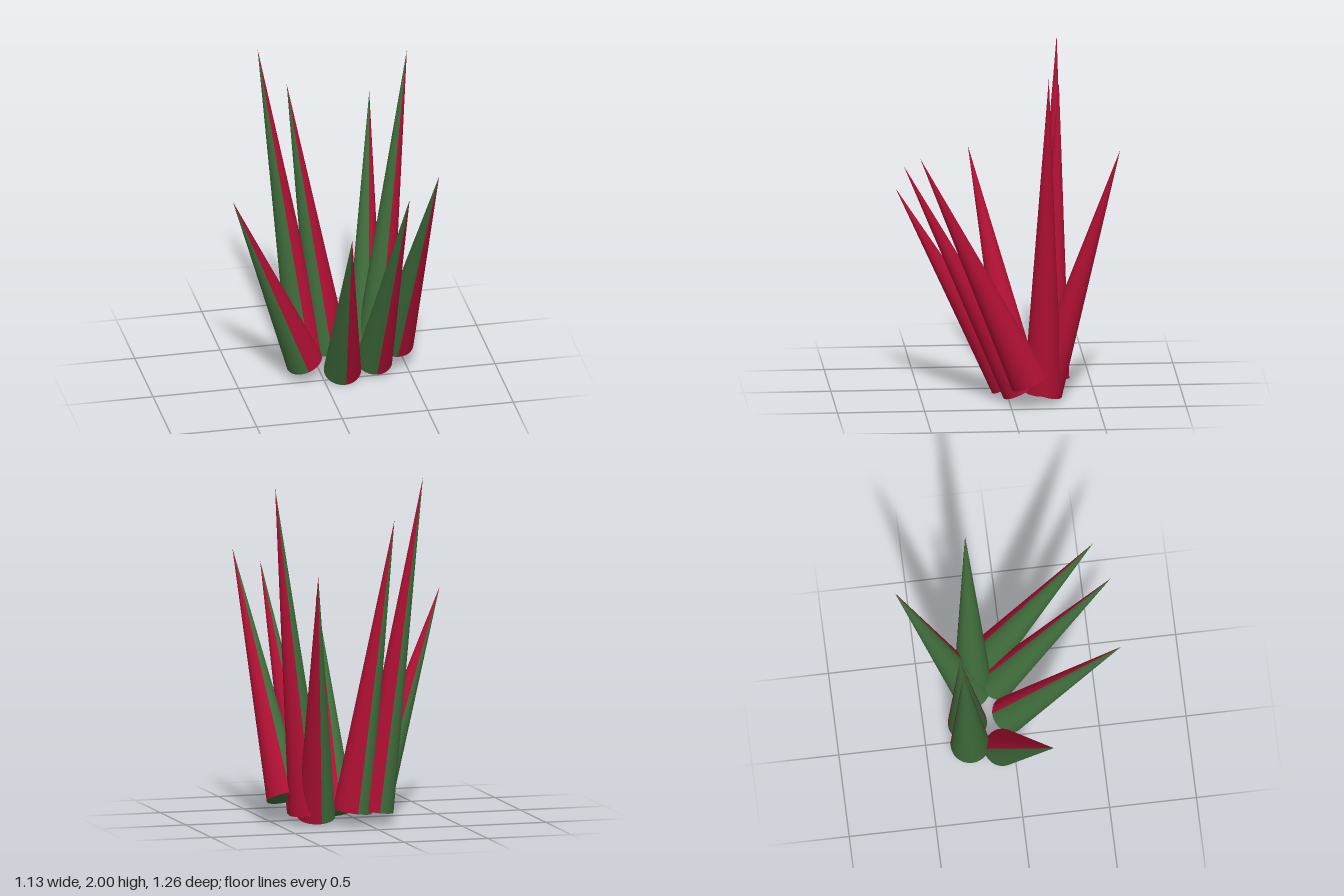
import * as THREE from 'three';

const red = new THREE.MeshStandardMaterial({ color: 0xae1033 });
red.name = 'crimson';
const green = new THREE.MeshStandardMaterial({ color: 0x3f6c3b });
green.name = 'leaf green';

// Each spike: centre of its base, tip, base radius
const spikes = [
  { base: [-0.10, 0.10, -0.07], tip: [-0.57, 1.29, 0.17], r: 0.107 },
  { base: [-0.05, 0.08, -0.25], tip: [-0.32, 2.00, -0.32], r: 0.112 },
  { base: [0.08, 0.08, -0.25], tip: [-0.15, 1.76, -0.32], r: 0.112 },
  { base: [0.33, 0.07, -0.19], tip: [0.53, 1.96, -0.21], r: 0.108 },
  { base: [0.28, 0.05, -0.20], tip: [0.40, 1.50, -0.63], r: 0.108 },
  { base: [0.435, 0.15, -0.105], tip: [0.56, 1.51, 0.53], r: 0.11 },
  { base: [0.305, 0.07, -0.06], tip: [0.37, 1.42, 0.61], r: 0.105 },
  { base: [0.11, 0.055, -0.01], tip: [0.03, 1.20, 0.63], r: 0.107 },
];

// One pointed leaf: red half towards +x, green half towards -x, green underside
function makeSpike({ base, tip, r }) {
  const foot = new THREE.Vector3(...base);
  const axis = new THREE.Vector3(...tip).sub(foot);
  const length = axis.length();
  const spike = new THREE.Group();

  const half = (name, start, material) => {
    const geometry = new THREE.ConeGeometry(r, length, 24, 4, true, start, Math.PI);
    geometry.translate(0, length / 2, 0);
    const mesh = new THREE.Mesh(geometry, material);
    mesh.name = name;
    spike.add(mesh);
  };
  half('redHalf', 0, red);
  half('greenHalf', Math.PI, green);

  const underside = new THREE.Mesh(new THREE.CircleGeometry(r, 48).rotateX(Math.PI / 2), green);
  underside.name = 'underside';
  spike.add(underside);

  // Lean the spike from its foot towards its tip
  spike.position.copy(foot);
  spike.quaternion.setFromUnitVectors(new THREE.Vector3(0, 1, 0), axis.normalize());
  return spike;
}

export function createModel() {
  const plant = new THREE.Group();
  plant.name = 'spikyPlant';
  spikes.forEach((data, i) => {
    const spike = makeSpike(data);
    spike.name = `leafSpike${i + 1}`;
    plant.add(spike);
  });
  return plant;
}
